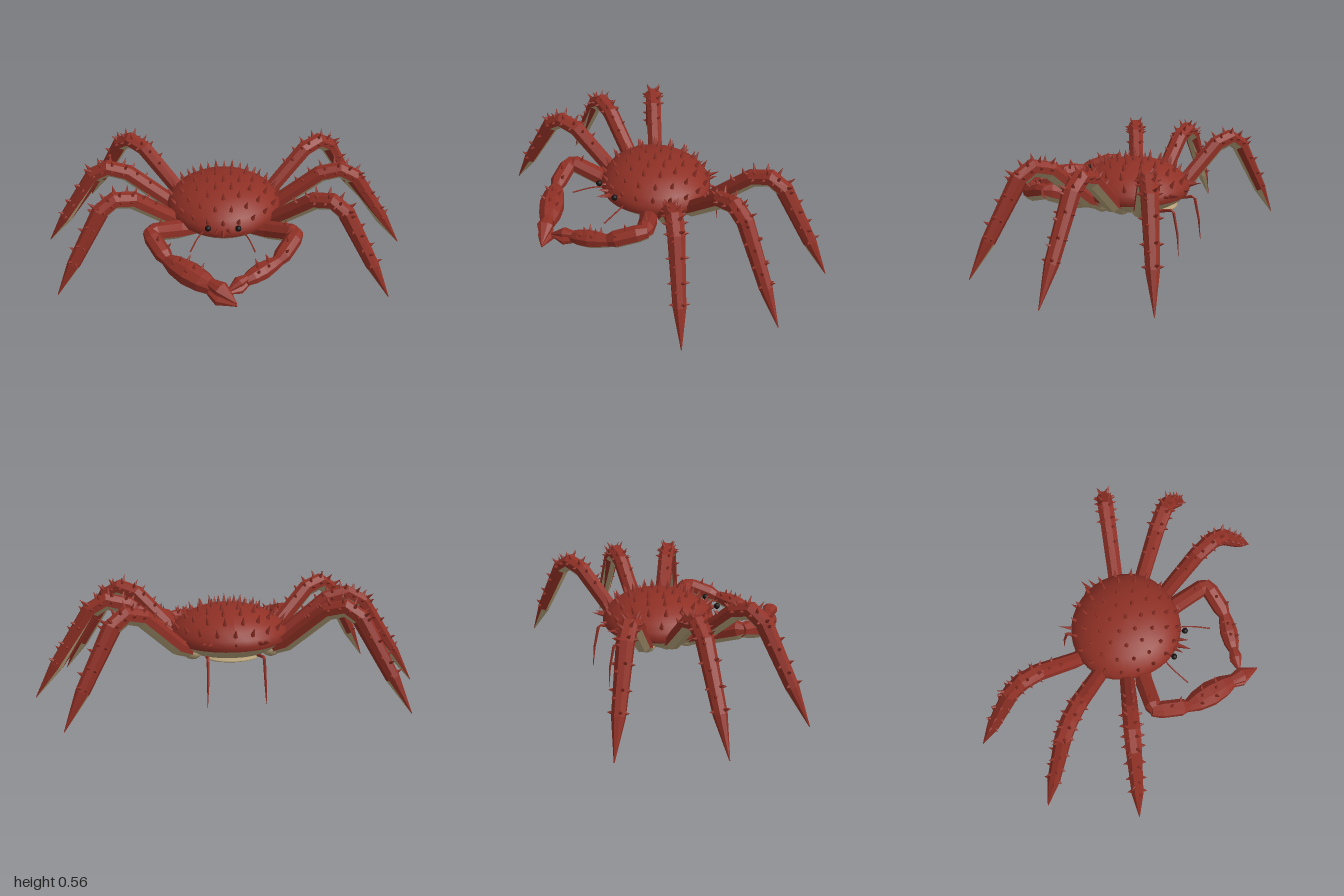
import * as THREE from 'three';
import { mergeGeometries } from 'three/addons/utils/BufferGeometryUtils.js';

const V = (x, y, z) => new THREE.Vector3(x, y, z);
const UP = V(0, 1, 0);

function material(name, color) {
  const m = new THREE.MeshStandardMaterial({ color });
  m.name = name;
  return m;
}

export function createModel() {
  const red = material('shell red', 0x8f3025);
  const cream = material('underside cream', 0xb5a179);
  const black = material('eye black', 0x15100f);
  const crab = new THREE.Group();
  crab.name = 'crab';

  function add(name, geometry, mat, parent = crab) {
    const mesh = new THREE.Mesh(geometry, mat);
    mesh.name = name;
    parent.add(mesh);
    return mesh;
  }

  // Thorn with its base at p, pointing along dir
  function thorn(p, dir, length, radius) {
    const g = new THREE.ConeGeometry(radius, length, 6);
    g.translate(0, length / 2 - 0.005, 0);
    g.applyQuaternion(new THREE.Quaternion().setFromUnitVectors(UP, dir.clone().normalize()));
    return g.translate(p.x, p.y, p.z);
  }

  // Faceted limb through stations [point, half width, half height];
  // faces turned downwards go into a second, cream group
  function limb(stations, sides = 8) {
    const pts = stations.map(s => s[0]);
    const frames = stations.map(([c, w, h], i) => {
      const a = pts[Math.max(i - 1, 0)], b = pts[Math.min(i + 1, pts.length - 1)];
      const tangent = b.clone().sub(a).normalize();
      const side = tangent.clone().cross(UP).normalize();
      return { c, w, h, side, up: side.clone().cross(tangent).normalize() };
    });
    const at = (f, a) => f.c.clone()
      .addScaledVector(f.side, Math.cos(a) * f.w).addScaledVector(f.up, Math.sin(a) * f.h);
    const upper = [], lower = [];
    const tri = (a, b, c, inside) => {
      const n = b.clone().sub(a).cross(c.clone().sub(a)).normalize();
      if (n.dot(a.clone().add(b).add(c).divideScalar(3).sub(inside)) < 0) {
        [b, c] = [c, b];
        n.negate();
      }
      const list = n.y < -0.4 ? lower : upper;
      for (const p of [a, b, c]) list.push(p.x, p.y, p.z);
    };
    for (let k = 0; k < sides; k++) {
      const a0 = (k + 0.5) / sides * Math.PI * 2, a1 = (k + 1.5) / sides * Math.PI * 2;
      for (let i = 0; i < frames.length - 1; i++) {
        const f = frames[i], g = frames[i + 1], mid = f.c.clone().lerp(g.c, 0.5);
        tri(at(f, a0), at(g, a0), at(g, a1), mid);
        tri(at(f, a0), at(g, a1), at(f, a1), mid);
      }
      const first = frames[0], last = frames[frames.length - 1];
      tri(first.c, at(first, a0), at(first, a1), frames[1].c);
      tri(last.c, at(last, a0), at(last, a1), frames[frames.length - 2].c);
    }
    const geometry = new THREE.BufferGeometry();
    geometry.setAttribute('position', new THREE.Float32BufferAttribute(upper.concat(lower), 3));
    geometry.addGroup(0, upper.length / 3, 0);
    geometry.addGroup(upper.length / 3, lower.length / 3, 1);
    geometry.computeVertexNormals();
    // Thorn on segment i, at fraction t along it and angle a around it
    const spike = (i, t, a, length = 0.038) => {
      const f = frames[i], g = frames[i + 1];
      const p = at(f, a).lerp(at(g, a), t);
      const dir = p.clone().sub(f.c.clone().lerp(g.c, t));
      return thorn(p, dir, length, 0.01);
    };
    return { geometry, spike };
  }

  // Body: a turned profile, stretched and narrowed towards the front
  const cz = -0.11, rx = 0.31, rz = 0.295;
  const shape = (x, y, z) => V(x * rx * (1 - 0.1 * Math.max(z, 0)), y, z * rz + cz);
  function body(profile) {
    const g = new THREE.LatheGeometry(profile.map(p => new THREE.Vector2(...p)), 36, Math.PI);
    const p = g.attributes.position;
    for (let i = 0; i < p.count; i++) {
      const v = shape(p.getX(i), p.getY(i), p.getZ(i));
      p.setXYZ(i, v.x, v.y, v.z);
    }
    g.computeVertexNormals();
    return g;
  }
  const dome = [[0.97, 0.275], [1, 0.3], [0.97, 0.33], [0.88, 0.365], [0.72, 0.4], [0.5, 0.427], [0.25, 0.44], [0, 0.443]];
  add('carapace', body(dome), red);
  add('belly', body([[0, 0.212], [0.62, 0.215], [0.74, 0.225], [0.88, 0.25], [0.97, 0.275]]), cream);
  const flap = new THREE.SphereGeometry(1, 20, 10).scale(0.14, 0.014, 0.1).translate(0, 0.212, -0.25);
  add('abdomenFlap', flap, cream);

  // Rows of thorns over the carapace
  const thorns = [];
  const rows = [[0, 0.443, 1], [0.27, 0.438, 6], [0.5, 0.425, 11], [0.73, 0.396, 16], [0.91, 0.352, 20]];
  rows.forEach(([r, y, count], row) => {
    for (let i = 0; i < count; i++) {
      const a = (i + (row % 2) / 2) / count * Math.PI * 2;
      const x = Math.sin(a) * r, z = Math.cos(a) * r;
      thorns.push(thorn(shape(x, y, z), V(x * r * 0.7, 1, z * r * 0.7), 0.052, 0.013));
    }
  });
  // Long thorns at the snout and the rear edge
  thorns.push(thorn(V(0, 0.31, 0.17), V(0, 0.25, 1), 0.1, 0.017));
  thorns.push(thorn(V(0, 0.31, -0.39), V(0, 0.2, -1), 0.05, 0.013));
  for (const s of [1, -1]) {
    thorns.push(thorn(V(s * 0.025, 0.32, 0.165), V(s * 0.2, 0.4, 1), 0.08, 0.014));
    thorns.push(thorn(V(s * 0.12, 0.31, -0.37), V(s * 0.35, 0.2, -1), 0.08, 0.014));
    thorns.push(thorn(V(s * 0.15, 0.31, -0.355), V(s * 0.35, 0.2, -1), 0.06, 0.012));
  }
  add('carapaceThorns', mergeGeometries(thorns), red);

  // Walking legs: [hip x, hip z, tip x, tip z]
  const legs = { frontLeg: [0.2, -0.03, 0.87, 0.32], middleLeg: [0.2, -0.14, 1, -0.155], rearLeg: [0.2, -0.25, 0.83, -0.625] };
  // Leg profile: [fraction outwards, height, half width, half height]
  const legProfile = [
    [0, 0.245, 0.042, 0.035], [0.12, 0.285, 0.042, 0.045], [0.4, 0.468, 0.044, 0.046],
    [0.53, 0.495, 0.045, 0.045], [0.63, 0.45, 0.043, 0.046], [0.86, 0.17, 0.033, 0.035], [1, 0.001, 0.002, 0.002]];
  const TOP = Math.PI / 2;

  for (const s of [1, -1]) {
    const sideName = s > 0 ? 'left' : 'right';
    for (const [name, [hx, hz, tx, tz]] of Object.entries(legs)) {
      const group = new THREE.Group();
      group.name = `${sideName} ${name}`;
      crab.add(group);
      const leg = limb(legProfile.map(([t, y, w, h]) => [V(s * (hx + (tx - hx) * t), y, hz + (tz - hz) * t), w, h]));
      add('legShell', leg.geometry, [red, cream], group);
      const spikes = [];
      for (const [i, t] of [[1, 0.55], [1, 0.85], [2, 0.2], [2, 0.75], [3, 0.3], [3, 0.85], [4, 0.3], [4, 0.65], [4, 0.95]]) {
        const top = i > 1 && i < 4;
        spikes.push(leg.spike(i, t, TOP + 0.45, top ? 0.042 : 0.03), leg.spike(i, (t + 0.12) % 1, TOP - 0.5, top ? 0.042 : 0.03));
        if (i > 1) spikes.push(leg.spike(i, t, 0.2, 0.025), leg.spike(i, t, Math.PI - 0.2, 0.025));
      }
      add('legThorns', mergeGeometries(spikes), red, group);
      const hip = new THREE.SphereGeometry(0.05, 10, 8).scale(1, 0.8, 1).translate(s * hx, 0.245, hz);
      add('hip', hip, cream, group);
    }

    // Claw arm; the right claw is the larger one
    const big = s < 0, k = big ? 1 : 0.72;
    const claw = new THREE.Group();
    claw.name = `${sideName} clawArm`;
    crab.add(claw);
    const wrist = V(s * 0.275, 0.265, 0.355);
    const knuckle = big ? V(-0.06, 0.235, 0.515) : V(0.12, 0.235, 0.465);
    const tip = big ? V(0.07, 0.212, 0.62) : V(0.02, 0.215, 0.54);
    const upperArm = limb([
      [V(s * 0.13, 0.24, 0.03), 0.04, 0.035], [V(s * 0.24, 0.265, 0.09), 0.048, 0.05],
      [V(s * 0.36, 0.32, 0.19), 0.045, 0.048], [V(s * 0.385, 0.325, 0.215), 0.028, 0.03]]);
    add('upperArm', upperArm.geometry, [red, cream], claw);
    const forearm = limb([
      [V(s * 0.385, 0.325, 0.19), 0.032, 0.035], [V(s * 0.36, 0.315, 0.235), 0.045, 0.045],
      [V(s * 0.3, 0.28, 0.325), 0.045, 0.044], [wrist, 0.03, 0.032]]);
    add('forearm', forearm.geometry, [red, cream], claw);
    const along = t => wrist.clone().lerp(knuckle, t);
    const palm = limb([
      [along(-0.05), 0.03, 0.032], [along(0.18), 0.055 * k, 0.054 * k], [along(0.5), 0.068 * k, 0.064 * k],
      [along(0.82), 0.058 * k, 0.058 * k], [along(1.05), 0.036 * k, 0.044 * k]]);
    add('palm', palm.geometry, [red, cream], claw);
    const spikes = [forearm.spike(1, 0.4, TOP), forearm.spike(1, 0.9, TOP + 0.6), upperArm.spike(1, 0.8, TOP)];
    for (const i of [1, 2]) {
      for (const a of [-0.6, 0, 0.6]) spikes.push(palm.spike(i, 0.35 + a * 0.4, TOP + a, 0.034));
    }
    add('clawThorns', mergeGeometries(spikes), red, claw);
    for (const d of [1, -1]) {
      const y = d * 0.03 * k, mid = knuckle.clone().lerp(tip, 0.4);
      const finger = limb([
        [knuckle.clone().add(V(0, y * 0.8, 0)), 0.028 * k, 0.024 * k],
        [mid.clone().add(V(0, y * 1.1, 0)), 0.044 * k, 0.032 * k],
        [tip.clone().add(V(0, y * 0.25, 0)), 0.003, 0.004]]);
      add(d > 0 ? 'upperFinger' : 'lowerFinger', finger.geometry, red, claw);
    }

    // Eye on a short stalk
    const stalk = thorn(V(s * 0.06, 0.32, 0.12), V(s * 0.02, 0.03, 0.08), 0.09, 0.016);
    add(`${sideName} eyeStalk`, stalk, red);
    add(`${sideName} eye`, new THREE.SphereGeometry(0.016, 12, 8).translate(s * 0.078, 0.35, 0.195), black);

    // Feeler and folded hind leg
    const feeler = new THREE.CatmullRomCurve3([V(s * 0.09, 0.3, 0.13), V(s * 0.13, 0.3, 0.21), V(s * 0.165, 0.285, 0.31)]);
    add(`${sideName} feeler`, new THREE.TubeGeometry(feeler, 8, 0.004, 5), red);
    const hind = limb([
      [V(s * 0.13, 0.22, -0.28), 0.009, 0.009], [V(s * 0.138, 0.245, -0.39), 0.008, 0.008],
      [V(s * 0.14, 0.235, -0.405), 0.008, 0.008], [V(s * 0.143, 0.12, -0.43), 0.006, 0.006],
      [V(s * 0.147, 0.01, -0.44), 0.001, 0.001]], 6);
    add(`${sideName} hindLeg`, hind.geometry, red);
  }
  return crab;
}
